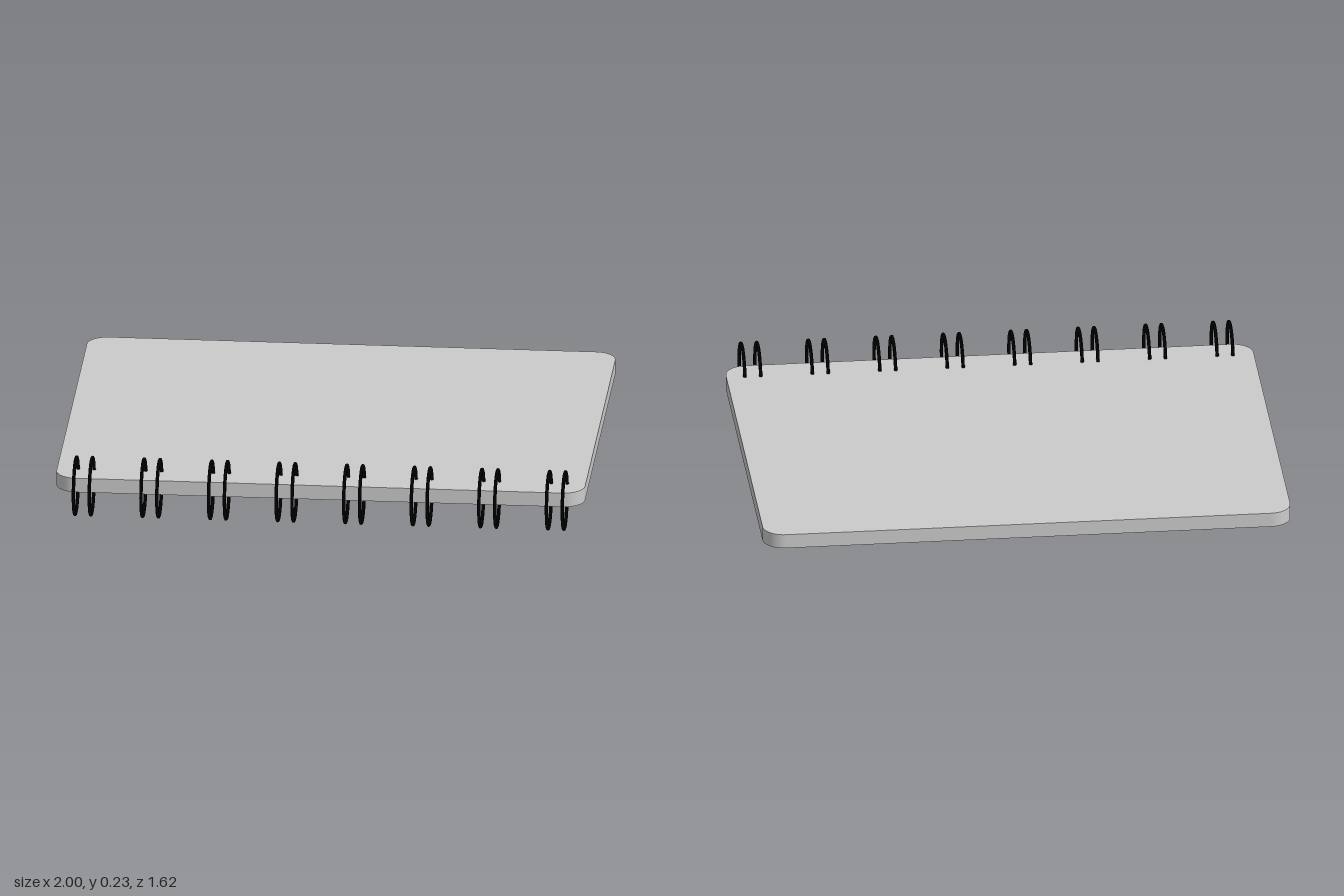
import * as THREE from 'three';

const MID_Y = 0.124; // shared mid height of pages and rings

// Flat pad with rounded corners, lying in the xz plane
function makePad() {
  const w = 1, back = -0.81, front = 0.69, r = 0.08, thick = 0.056;
  const s = new THREE.Shape();
  // shape y becomes -z once laid flat
  s.moveTo(w, -front + r);
  s.lineTo(w, -back - r);
  s.absarc(w - r, -back - r, r, 0, Math.PI / 2);
  s.absarc(-w + r, -back - r, r, Math.PI / 2, Math.PI);
  s.absarc(-w + r, -front + r, r, Math.PI, Math.PI * 1.5);
  s.absarc(w - r, -front + r, r, Math.PI * 1.5, Math.PI * 2);
  const geo = new THREE.ExtrudeGeometry(s, { depth: thick, bevelEnabled: false, curveSegments: 12 });
  geo.rotateX(-Math.PI / 2);
  geo.translate(0, MID_Y - thick / 2, 0);
  const pad = new THREE.Mesh(geo, new THREE.MeshStandardMaterial({ color: 0xcccccc }));
  pad.name = 'pagePad';
  return pad;
}

// Eight pairs of wire rings along the front edge
function makeBinding() {
  const binding = new THREE.Group();
  binding.name = 'ringBinding';
  const tube = 0.0065, outer = 0.115;
  const geo = new THREE.TorusGeometry(outer - tube, tube, 8, 48);
  geo.rotateY(Math.PI / 2);
  const wire = new THREE.MeshStandardMaterial({ color: 0x000000 });
  for (let i = 0; i < 8; i++) {
    const pair = new THREE.Group();
    pair.name = 'ringPair';
    pair.position.set(-0.89 + i * 0.2557, MID_Y, 0.695);
    for (const side of [-1, 1]) {
      const ring = new THREE.Mesh(geo, wire);
      ring.name = 'wireRing';
      ring.position.x = side * 0.03;
      pair.add(ring);
    }
    binding.add(pair);
  }
  return binding;
}

export function createModel() {
  const model = new THREE.Group();
  model.name = 'spiralNotebook';
  model.add(makePad(), makeBinding());
  return model;
}
